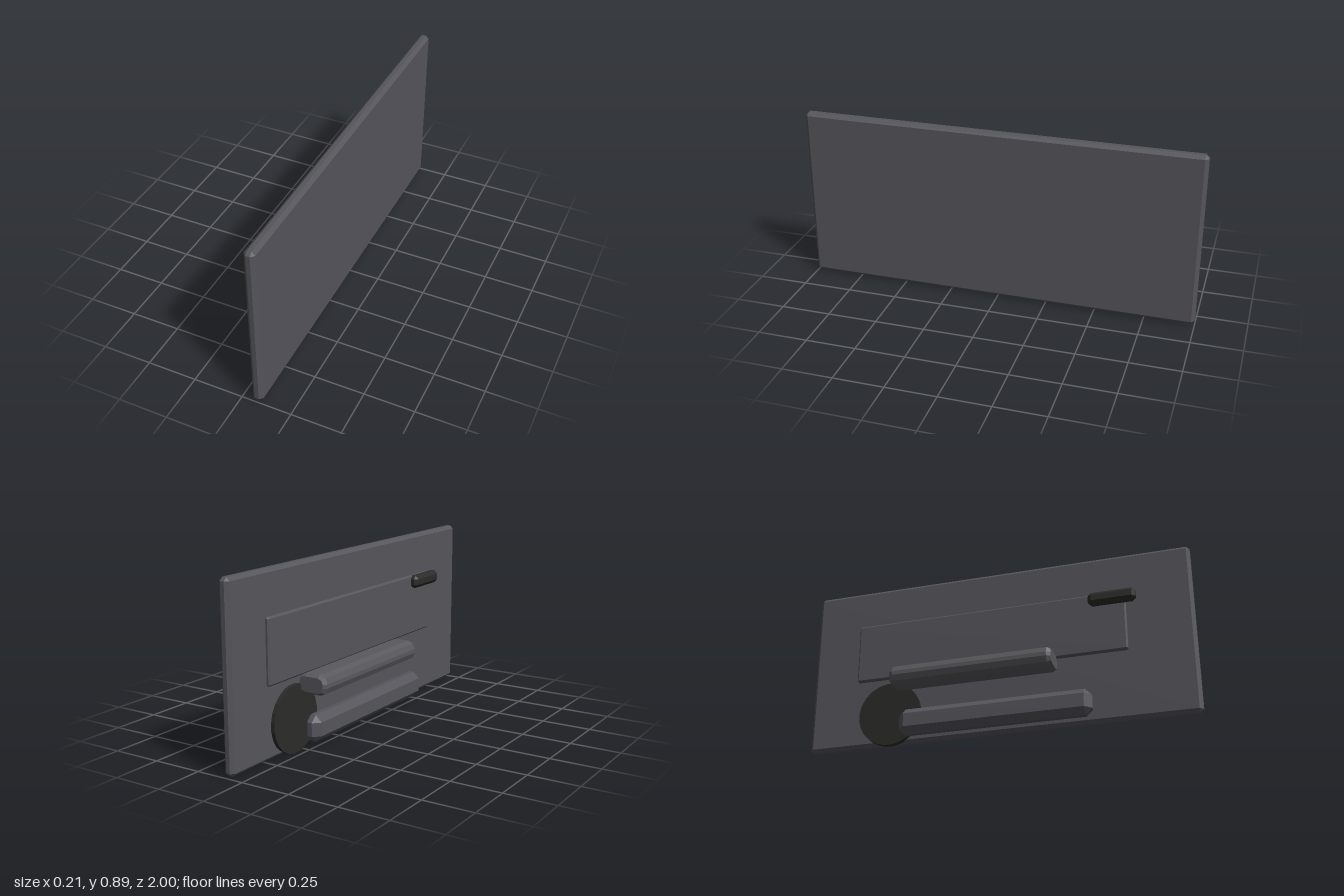
import * as THREE from 'three';
import { ConvexGeometry } from 'three/addons/geometries/ConvexGeometry.js';

const paint = (name, color) => {
  const m = new THREE.MeshStandardMaterial({ color });
  m.name = name;
  return m;
};

// Box from min and max corners with every edge cut by c
function chamferBox(min, max, c) {
  const points = [];
  for (let i = 0; i < 8; i++) {
    const corner = [0, 1, 2].map(a => ((i >> a) & 1 ? max[a] : min[a]));
    const inner = corner.map((v, a) => v + ((i >> a) & 1 ? -c : c));
    for (let a = 0; a < 3; a++) {
      const p = [...inner];
      p[a] = corner[a];
      points.push(new THREE.Vector3(...p));
    }
  }
  return new ConvexGeometry(points);
}

// Padded bar along z: rounded cross-section with slightly inset ends
function paddedBar(min, max, radius, inset, endDepth) {
  const points = [];
  const rings = [
    [min[2], inset], [min[2] + endDepth, 0],
    [max[2] - endDepth, 0], [max[2], inset],
  ];
  const cx = (min[0] + max[0]) / 2, cy = (min[1] + max[1]) / 2;
  for (const [z, d] of rings) {
    const hx = (max[0] - min[0]) / 2 - d, hy = (max[1] - min[1]) / 2 - d;
    const r = radius - d;
    for (const sx of [-1, 1]) for (const sy of [-1, 1]) for (let k = 0; k < 3; k++) {
      const a = (k * Math.PI) / 4;
      points.push(new THREE.Vector3(
        cx + sx * (hx - r + r * Math.cos(a)),
        cy + sy * (hy - r + r * Math.sin(a)), z));
    }
  }
  return new ConvexGeometry(points);
}

export function createModel() {
  const group = new THREE.Group();
  group.name = 'doorPanel';
  const trim = paint('grey trim', 0x56555c);
  const padding = paint('grey padding', 0x5a5a5e);
  const black = paint('black plastic', 0x2b2b29);

  const add = (name, geometry, material) => {
    const mesh = new THREE.Mesh(geometry, material);
    mesh.name = name;
    group.add(mesh);
    return mesh;
  };

  // Main slab and raised upper insert
  add('mainPanel', chamferBox([0.05, 0.007, -1], [0.105, 0.893, 1], 0.017), trim);
  add('upperInsert', chamferBox([0.032, 0.362, -0.75], [0.06, 0.68, 0.67], 0.008), trim);

  // Armrest and storage pocket
  add('armrest', paddedBar([-0.106, 0.276, -0.52], [0.05, 0.376, 0.315], 0.04, 0.013, 0.02), padding);
  add('storagePocket', chamferBox([-0.04, 0.028, -0.49], [0.051, 0.162, 0.49], 0.033), trim);

  // Pull handle
  add('pullHandle', chamferBox([-0.005, 0.613, 0.485], [0.051, 0.68, 0.725], 0.018), black);

  // Round speaker cover, with a flat facet at the bottom
  const disc = new THREE.CylinderGeometry(0.166, 0.166, 0.028, 24).toNonIndexed();
  disc.computeVertexNormals();
  disc.rotateY(Math.PI / 24);
  disc.rotateZ(Math.PI / 2);
  add('speakerCover', disc, black).position.set(0.044, 0.1646, -0.56);

  return group;
}
